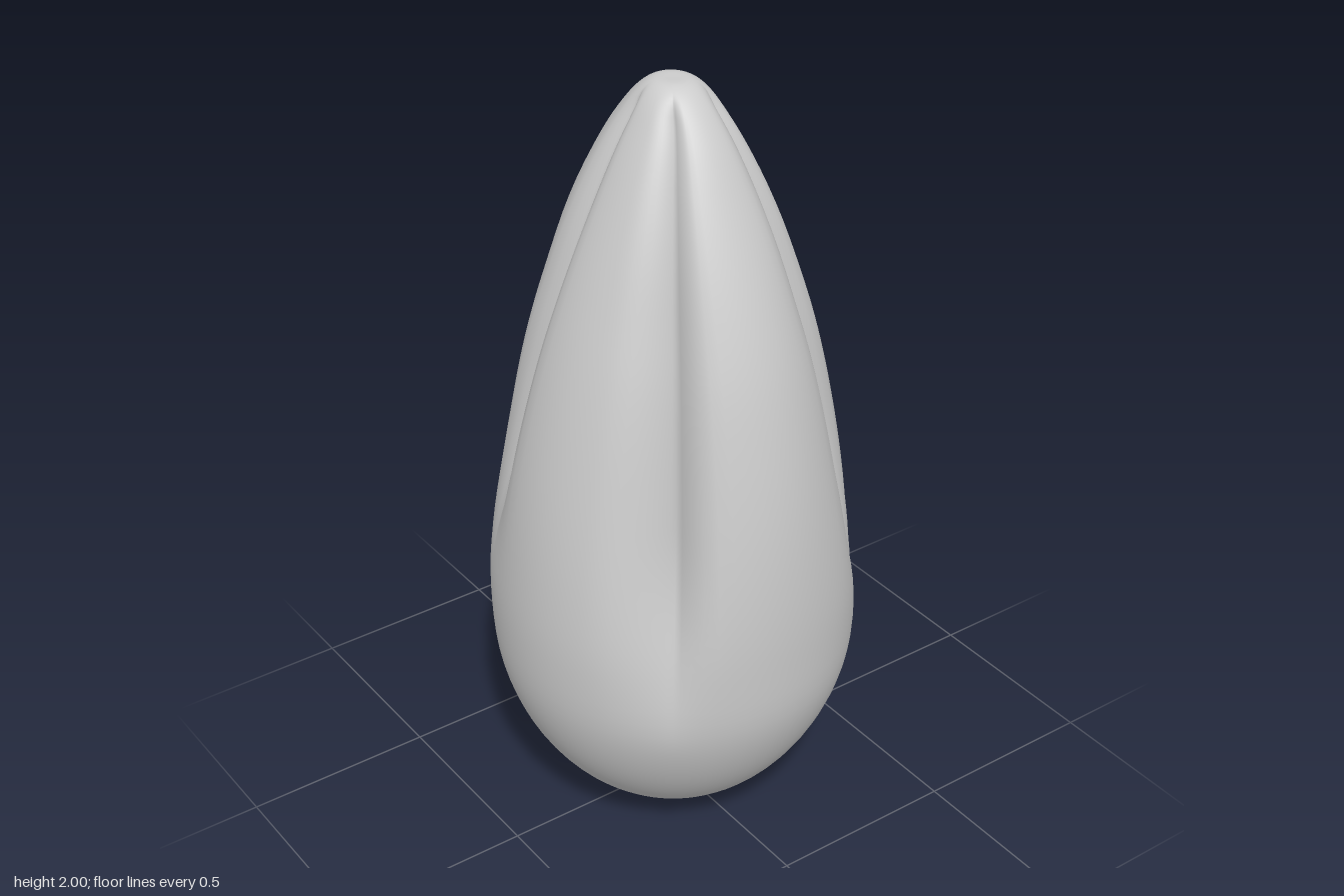
import * as THREE from 'three';

const { smoothstep, degToRad, lerp } = THREE.MathUtils;

// Profile of the bud: [half-width in x, height, half-width in z]
const PROFILE = [
  [0, 0, 0], [0.11, 0.015, 0.11], [0.215, 0.065, 0.215], [0.32, 0.16, 0.32],
  [0.403, 0.29, 0.405], [0.452, 0.44, 0.458], [0.466, 0.62, 0.472], [0.457, 0.8, 0.472],
  [0.432, 1.0, 0.457], [0.392, 1.2, 0.426], [0.338, 1.4, 0.38], [0.267, 1.6, 0.308],
  [0.178, 1.8, 0.212], [0.125, 1.9, 0.152], [0.08, 1.97, 0.092], [0.045, 1.997, 0.05], [0, 2, 0],
];

// Creases between the four petals. Angles in degrees (0 = +x, 90 = front) at the lower and upper end,
// the height where the crease starts, its depth, and its width towards smaller and larger angles
const CREASES = [
  { low: 33, high: 43, from: 0.5, depth: 0.2, before: 0.22, after: 0.46 },
  { low: 126, high: 129, from: 0.4, depth: 0.2, before: 0.22, after: 0.46 },
  { low: 206, high: 197, from: 0.7, depth: 0.19, before: 0.26, after: 0.26 },
  { low: 329, high: 318, from: 0.5, depth: 0.2, before: 0.46, after: 0.22 },
];

const RINGS = 72;
const STEPS = 20;

const creaseAngle = (crease, y) => lerp(crease.low, crease.high, smoothstep(y, 0.9, 1.9));

// Columns of vertices follow the creases and are packed more tightly next to them
function columnAngles(y) {
  const angles = [];
  CREASES.forEach((crease, k) => {
    const start = creaseAngle(crease, y);
    const span = (creaseAngle(CREASES[(k + 1) % CREASES.length], y) - start + 360) % 360;
    for (let s = 0; s < STEPS; s++) {
      const t = s / STEPS;
      const packed = 0.4 * t + 0.6 * t * t * (3 - 2 * t);
      angles.push(degToRad(start + span * packed));
    }
  });
  return angles;
}

// Share of the radius left after flattening the diagonals and cutting the creases
function radiusFactor(angle, y) {
  const middle = smoothstep(y, 0.6, 1.15) * (1 - smoothstep(y, 1.45, 1.8));
  let cut = 0.05 * middle * Math.sin(2 * angle) ** 2;
  for (const c of CREASES) {
    const d = angle - degToRad(creaseAngle(c, y));
    const gap = Math.atan2(Math.sin(d), Math.cos(d));
    const width = gap < 0 ? c.before : c.after;
    const notch = Math.pow(Math.max(0, 1 - Math.abs(gap) / width), 1.6);
    const rise = smoothstep(y, c.from, c.from + 0.6);
    const tip = 1 - smoothstep(y, 1.93, 2);
    cut += c.depth * notch * rise * tip;
  }
  return 1 - cut;
}

function budGeometry() {
  const curve = new THREE.CatmullRomCurve3(PROFILE.map((p) => new THREE.Vector3(...p)));
  const n = CREASES.length * STEPS;
  const positions = [0, 0, 0];
  for (let i = 1; i < RINGS; i++) {
    const p = curve.getPoint(i / RINGS);
    for (const a of columnAngles(p.y)) {
      const f = radiusFactor(a, p.y);
      positions.push(p.x * f * Math.cos(a), p.y, p.z * f * Math.sin(a));
    }
  }
  positions.push(0, 2, 0);

  // Base and tip are single shared vertices
  const tip = positions.length / 3 - 1;
  const vertex = (i, j) => (i === 0 ? 0 : i === RINGS ? tip : 1 + (i - 1) * n + (j % n));
  const index = [];
  for (let i = 0; i < RINGS; i++) {
    for (let j = 0; j < n; j++) {
      const a = vertex(i, j), b = vertex(i + 1, j), c = vertex(i + 1, j + 1), d = vertex(i, j + 1);
      if (i < RINGS - 1) index.push(a, b, c);
      if (i > 0) index.push(a, c, d);
    }
  }
  const geometry = new THREE.BufferGeometry();
  geometry.setAttribute('position', new THREE.Float32BufferAttribute(positions, 3));
  geometry.setIndex(index);
  geometry.computeVertexNormals();
  return geometry;
}

export function createModel() {
  const group = new THREE.Group();
  group.name = 'flowerBud';
  const petals = new THREE.Mesh(budGeometry(), new THREE.MeshStandardMaterial({ color: 0xcccccc }));
  petals.name = 'closedPetals';
  group.add(petals);
  return group;
}
